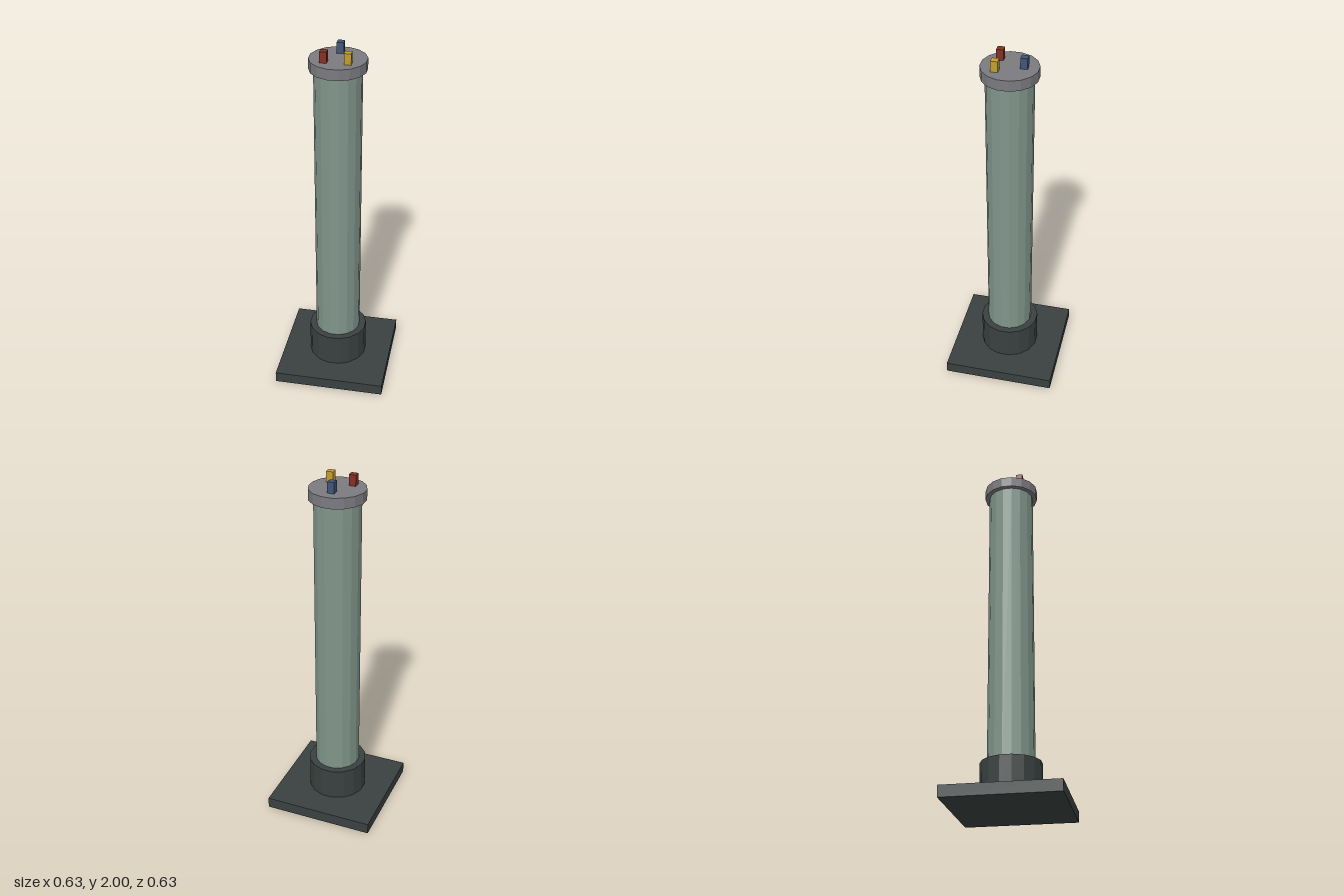
import * as THREE from 'three';

const SIDES = 16;

function material(name, color, flatShading = true) {
  const m = new THREE.MeshStandardMaterial({ color, flatShading });
  m.name = name;
  return m;
}

export function createModel() {
  const group = new THREE.Group();
  group.name = 'signalColumn';

  const darkMetal = material('darkMetal', 0x3a4140);
  const greenPaint = material('greenPaint', 0x80958a);
  const greyMetal = material('greyMetal', 0x7a7a80);
  const red = material('red', 0x842f24);
  const blue = material('blue', 0x405575);
  const yellow = material('yellow', 0xc29d2f);

  function add(name, geometry, mat, x, y, z) {
    const mesh = new THREE.Mesh(geometry, mat);
    mesh.name = name;
    mesh.position.set(x, y, z);
    group.add(mesh);
  }

  // Faceted upright cylinder, sized across its flats, with a flat facing front
  function drum(name, apothem, bottom, top, mat) {
    const radius = apothem / Math.cos(Math.PI / SIDES);
    const geometry = new THREE.CylinderGeometry(radius, radius, top - bottom, SIDES);
    geometry.rotateY(Math.PI / SIDES);
    add(name, geometry, mat, 0, (bottom + top) / 2, 0);
  }

  // Square foot and the stacked round parts
  add('basePlate', new THREE.BoxGeometry(0.627, 0.063, 0.627), darkMetal, 0, 0.0315, 0);
  drum('collar', 0.1625, 0.063, 0.251, darkMetal);
  drum('column', 0.1254, 0.251, 1.881, greenPaint);
  drum('cap', 0.15, 1.881, 1.94, greyMetal);

  // Three coloured terminals on the cap
  const terminals = [
    ['redTerminal', red, -0.0627, 0.062],
    ['blueTerminal', blue, 0, -0.0757],
    ['yellowTerminal', yellow, 0.0627, 0.062],
  ];
  for (const [name, mat, x, z] of terminals) {
    add(name, new THREE.BoxGeometry(0.0376, 0.06, 0.0376), mat, x, 1.97, z);
  }
  return group;
}
